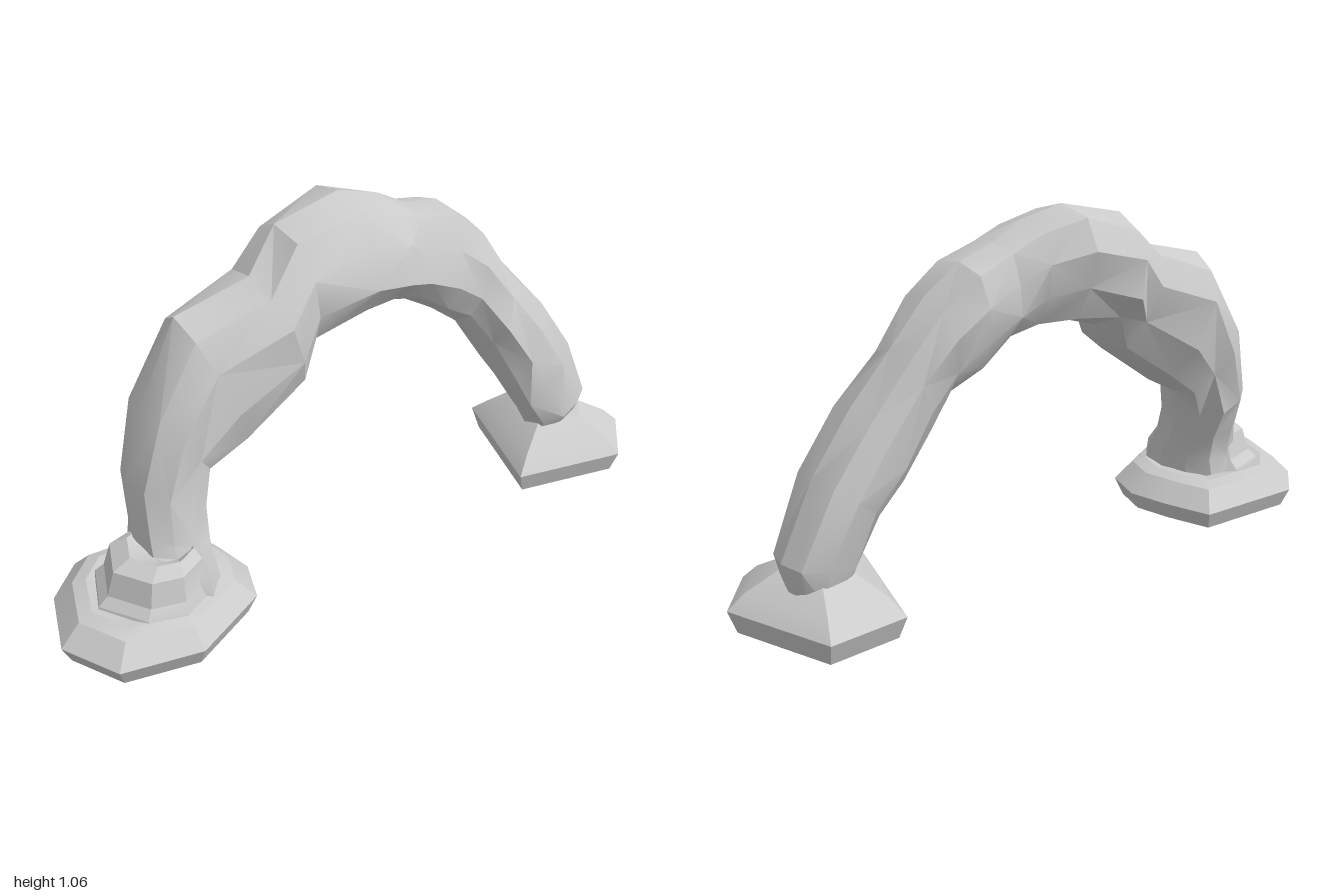
import * as THREE from 'three';
import { toCreasedNormals } from 'three/addons/utils/BufferGeometryUtils.js';

const material = new THREE.MeshStandardMaterial({ color: 0xcccccc, side: THREE.DoubleSide });

// small seeded random generator, 0..1
function seeded(seed) {
  return () => {
    seed = (seed * 16807) % 2147483647;
    return seed / 2147483647;
  };
}

// skin a list of equal-length loops, closing either end on request
function loft(name, loops, crease, capStart, capEnd) {
  const n = loops[0].length;
  const pos = [];
  const tri = (...pts) => pts.forEach((p) => pos.push(p.x, p.y, p.z));
  const middle = (loop) => loop.reduce((s, p) => s.add(p), new THREE.Vector3()).divideScalar(n);
  const first = loops[0], last = loops[loops.length - 1];
  const c0 = middle(first), c1 = middle(last);
  for (let j = 0; j < n; j++) {
    const k = (j + 1) % n;
    if (capStart) tri(c0, first[k], first[j]);
    for (let i = 0; i < loops.length - 1; i++) {
      const a = loops[i], b = loops[i + 1];
      if ((i + j) % 2) {
        tri(a[j], a[k], b[k]);
        tri(a[j], b[k], b[j]);
      } else {
        tri(a[j], a[k], b[j]);
        tri(a[k], b[k], b[j]);
      }
    }
    if (capEnd) tri(c1, last[j], last[k]);
  }
  const geometry = new THREE.BufferGeometry();
  geometry.setAttribute('position', new THREE.Float32BufferAttribute(pos, 3));
  const mesh = new THREE.Mesh(toCreasedNormals(geometry, crease), material);
  mesh.name = name;
  return mesh;
}

// stack scaled copies of a plan outline; each level is [scale, y]
function stack(name, outline, [cx, cz], levels, crease, capStart, capEnd) {
  const loops = levels.map(([s, y]) =>
    outline.map(([x, z]) => new THREE.Vector3(cx + (x - cx) * s, y, cz + (z - cz) * s)));
  return loft(name, loops, crease, capStart, capEnd);
}

// arch sections: outer x, outer y, inner x, inner y, back z, front z
const sections = [
  [-0.72, 0.08, -0.53, 0.08, -0.14, 0.15],
  [-0.72, 0.17, -0.52, 0.16, -0.14, 0.14],
  [-0.71, 0.26, -0.52, 0.23, -0.16, 0.08],
  [-0.70, 0.40, -0.51, 0.31, -0.20, 0.05],
  [-0.63, 0.60, -0.48, 0.40, -0.21, 0.04],
  [-0.51, 0.84, -0.37, 0.46, -0.23, 0.05],
  [-0.28, 0.90, -0.19, 0.59, -0.23, 0.08],
  [-0.17, 1.01, -0.13, 0.68, -0.28, 0.05],
  [0.04, 1.06, 0.03, 0.73, -0.28, 0.06],
  [0.16, 1.03, 0.14, 0.72, -0.24, 0.07],
  [0.25, 0.98, 0.22, 0.70, -0.21, 0.05],
  [0.38, 0.95, 0.33, 0.63, -0.24, 0.04],
  [0.48, 0.87, 0.41, 0.57, -0.21, 0.05],
  [0.57, 0.74, 0.47, 0.49, -0.18, 0.08],
  [0.69, 0.60, 0.54, 0.36, -0.17, 0.10],
  [0.80, 0.43, 0.59, 0.27, -0.15, 0.12],
  [0.90, 0.22, 0.65, 0.18, -0.13, 0.11],
  [0.88, 0.10, 0.68, 0.10, -0.10, 0.05],
];

function buildArch() {
  const random = seeded(41);
  const sides = 10;
  const lean = 0.025; // the crest sits slightly behind the underside
  const soften = (v) => Math.sign(v) * Math.abs(v) ** 0.92;
  const loops = sections.map(([ox, oy, ix, iy, z0, z1]) => {
    const loop = [];
    for (let j = 0; j < sides; j++) {
      const a = (j / sides) * Math.PI * 2;
      // keep the outer and inner ridges exact, roughen the flanks
      const rough = j % (sides / 2) === 0 ? 1 : 0.89 + random() * 0.21;
      const c = soften(Math.cos(a)) * rough, s = soften(Math.sin(a)) * rough;
      loop.push(new THREE.Vector3(
        (ox + ix) / 2 + (c * (ox - ix)) / 2,
        (oy + iy) / 2 + (c * (oy - iy)) / 2,
        (z0 + z1) / 2 + (s * (z1 - z0)) / 2 - lean * c));
    }
    return loop;
  });
  return loft('rockArch', loops, 0.45, true, true);
}

export function createModel() {
  const group = new THREE.Group();
  group.name = 'naturalRockArch';
  group.add(buildArch());

  // right foot: wide slab, hollow underneath and open below the mound
  group.add(stack('rightFoot', [
    [-0.92, 0.23], [-0.69, 0.28], [-0.45, 0.16], [-0.40, 0.03], [-0.42, -0.10],
    [-0.46, -0.25], [-0.80, -0.27], [-0.92, -0.16], [-1.00, 0.05],
  ], [-0.69, 0], [
    [0.5, 0.1], [0.64, 0.07], [0.7, 0], [0.91, 0], [1, 0.055], [0.8, 0.11], [0.66, 0.122], [0.5, 0.115],
  ], 0.4, false, false));

  // stepped hollow mound around the right leg, dished on top
  group.add(stack('rightMound', [
    [-0.80, 0.17], [-0.69, 0.20], [-0.58, 0.14], [-0.57, -0.08],
    [-0.67, -0.17], [-0.81, -0.13], [-0.88, 0.03],
  ], [-0.63, 0.03], [
    [1, 0.1], [0.96, 0.125], [0.85, 0.15], [0.76, 0.22], [0.55, 0.245], [0.3, 0.22],
  ], 0.4, false, true));

  // left foot: solid five-sided block sloping up to the leg
  group.add(stack('leftFoot', [
    [0.86, 0.24], [1.00, 0.08], [0.90, -0.26], [0.66, -0.25], [0.52, 0.16],
  ], [0.77, 0], [
    [0.9, 0.01], [1, 0.075], [0.8, 0.12], [0.42, 0.17], [0.3, 0.175],
  ], 0.3, true, true));

  return group;
}
